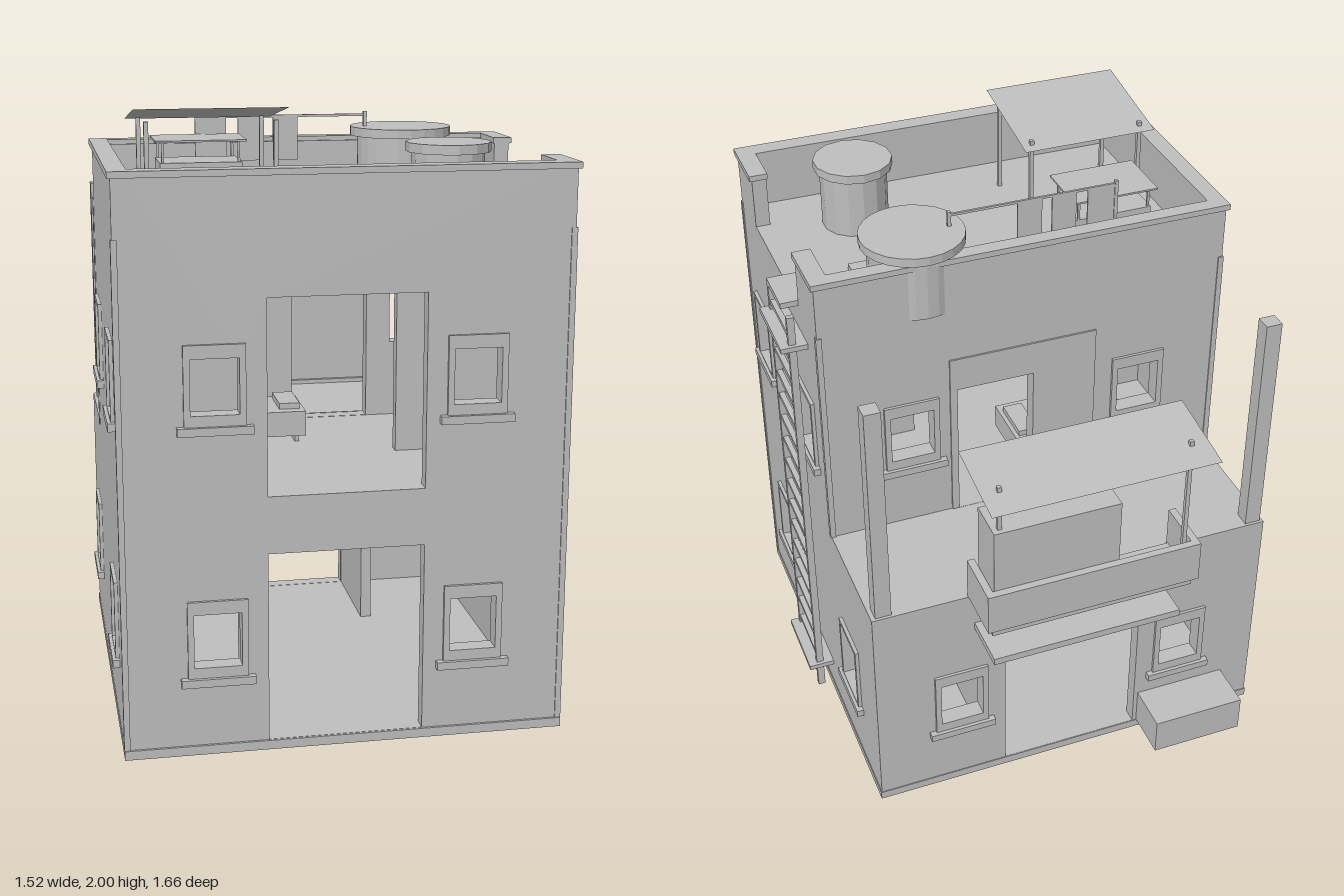
import * as THREE from 'three';

const plaster = new THREE.MeshStandardMaterial({ color: 0xbebebe });
plaster.name = 'plaster';
const sheetMaterial = plaster.clone();
sheetMaterial.name = 'plasterSheet';
sheetMaterial.side = THREE.DoubleSide;

export function createModel() {
  const model = new THREE.Group();
  model.name = 'house';
  const T = 0.05; // wall thickness
  const X0 = -0.74, X1 = 0.67, ZB = -0.6, ZU = -0.15, ZF = 0.8;

  const add = (name, geometry, material = plaster) => {
    const mesh = new THREE.Mesh(geometry, material);
    mesh.name = name;
    model.add(mesh);
    return mesh;
  };
  // Box given by its limits on each axis
  const box = (name, x0, x1, y0, y1, z0, z1) => {
    const m = add(name, new THREE.BoxGeometry(x1 - x0, y1 - y0, z1 - z0));
    m.position.set((x0 + x1) / 2, (y0 + y1) / 2, (z0 + z1) / 2);
    return m;
  };
  const cylinder = (name, x, z, y0, y1, r, sides) => {
    const m = add(name, new THREE.CylinderGeometry(r, r, y1 - y0, sides).toNonIndexed());
    m.geometry.computeVertexNormals();
    m.position.set(x, (y0 + y1) / 2, z);
  };
  const rect = (u0, u1, v0, v1) => [[u0, v0], [u1, v0], [u1, v1], [u0, v1]];
  const plate = (points, holes, depth) => {
    const shape = new THREE.Shape(points.map(p => new THREE.Vector2(...p)));
    for (const h of holes) shape.holes.push(new THREE.Path(h.map(p => new THREE.Vector2(...p))));
    return new THREE.ExtrudeGeometry(shape, { depth, bevelEnabled: false });
  };
  // Plates facing z start at z; plates facing x run from x0 to x0 + depth
  const zPlate = (name, points, holes, z, depth) => add(name, plate(points, holes, depth).translate(0, 0, z));
  const xPlate = (name, points, holes, x, depth) =>
    add(name, plate(points, holes, depth).rotateY(-Math.PI / 2).translate(x + depth, 0, 0));

  // Windows: centre along the wall and centre height
  const hole = (u, v, w, h) => rect(u - w / 2, u + w / 2, v - h / 2, v + h / 2);
  const endWin = (u, v) => hole(u, v, 0.15, 0.175);
  const sideWin = (u, v) => hole(u, v, 0.165, 0.235);
  const endX = [-0.445, 0.37], lowY = 0.38, highY = 1.19;
  const sideWins = [[0.515, 0.385], [-0.305, 0.385], [0.605, 1.19], [0.05, 1.19]];

  // Floors
  box('baseSlab', X0 - 0.003, X1 + 0.003, 0, 0.03, ZB - 0.003, ZF + 0.008);
  box('middleFloor', X0 + T, X1 - T, 0.795, 0.835, ZB + T, ZF - T);
  box('roofFloor', X0 + T, X1 - T, 1.6, 1.64, ZU + T, ZF - T);

  // Front and back walls
  const a = X0 + T, b = X1 - T;
  const lowDoor = rect(-0.285, 0.21, 0.031, 0.65);
  const lowHoles = endX.map(x => endWin(x, lowY));
  const highHoles = endX.map(x => endWin(x, highY));
  zPlate('frontWall', rect(a, b, 0.03, 1.825),
    [lowDoor, rect(-0.285, 0.21, 0.835, 1.455), ...lowHoles, ...highHoles], ZF - T, T);
  zPlate('lowerBackWall', rect(a, b, 0.03, 0.835), [lowDoor, ...lowHoles], ZB, T);
  zPlate('upperBackWall', rect(a, b, 0.83, 1.825),
    [rect(-0.06, 0.21, 0.836, 1.335), ...highHoles], ZU, T);
  zPlate('backDoorTrim', rect(-0.285, 0.235, 0.836, 1.455),
    [rect(-0.06, 0.21, 0.837, 1.335)], ZU - 0.006, 0.006);

  // Side walls; the right one drops for the ladder
  const sideHoles = sideWins.map(w => sideWin(...w));
  const start = [[ZB, 0.835], [ZB, 0.03], [ZF, 0.03], [ZF, 1.825]];
  const gap = [[0.6, 1.825], [0.6, 1.64], [0.06, 1.64], [0.06, 1.825]];
  const end = [[ZU, 1.825], [ZU, 0.835]];
  xPlate('leftSideWall', [...start, ...gap, ...end], sideHoles, X1 - T, T);
  xPlate('rightSideWall', [...start, ...end], sideHoles, X0, T);

  // Parapet coping and the band below it
  const o = 0.01, c = [1.82, 1.84];
  box('copingFront', X0 - o, X1 + o, ...c, ZF - T - 0.003, ZF + o);
  box('copingBack', X0 - o, X1 + o, ...c, ZU - o, ZU + T - 0.008);
  box('copingSide', X0 - o, X0 + T, ...c, ZU, ZF);
  box('copingSide', X1 - T - 0.003, X1 + o, ...c, 0.59, ZF);
  box('copingSide', X1 - T - 0.003, X1 + o, ...c, ZU, 0.06);

  // Slim corner strips
  for (const x of [X0, X1]) {
    const s = Math.sign(x), xs = [x - 0.015 * s, x + 0.004 * s].sort((p, q) => p - q);
    box('cornerStrip', ...xs, 0.03, 1.64, ZF - 0.015, ZF + 0.004);
    box('cornerStrip', ...xs, 0.835, 1.64, ZU - 0.004, ZU + 0.015);
  }

  // Window frames and sills
  const endWindow = (x, y, z, dir) => {
    zPlate('windowFrame', hole(x, y, 0.19, 0.26), [endWin(x, y)], dir > 0 ? z : z - 0.01, 0.01);
    const zs = dir > 0 ? [z, z + 0.022] : [z - 0.022, z];
    box('windowSill', x - 0.117, x + 0.117, y - 0.148, y - 0.122, ...zs);
  };
  for (const x of endX) {
    endWindow(x, lowY, ZF, 1);
    endWindow(x, highY, ZF, 1);
    endWindow(x, lowY, ZB, -1);
    endWindow(x, highY, ZU, -1);
  }
  for (const [z, y] of sideWins) {
    for (const x of [X0, X1]) {
      const out = x > 0;
      xPlate('windowFrame', hole(z, y, 0.195, 0.265), [sideWin(z, y)], out ? x : x - 0.012, 0.012);
      box('windowSill', ...(out ? [x, x + 0.023] : [x - 0.023, x]), y - 0.148, y - 0.122, z - 0.117, z + 0.117);
    }
  }

  // Inner partitions
  box('lowerPartition', -0.325, -0.287, 0.03, 0.8, 0.37, ZF - T);
  box('lowerPartition', 0.212, 0.25, 0.03, 0.8, ZB + T, -0.17);
  box('upperPartition', a, -0.287, 0.835, 1.6, 0.33, 0.37);
  box('upperPartition', 0.212, b, 0.835, 1.6, 0.33, 0.37);

  // Bench in the upper room
  box('benchSeat', -0.5, -0.065, 0.86, 0.945, 0, 0.22);
  box('benchCushion', -0.15, -0.08, 0.945, 0.965, 0.02, 0.18);
  box('benchLeg', -0.1, -0.085, 0.835, 0.86, 0.02, 0.2);

  // Back terrace: corner pillars, balcony, cabinet, awning and step
  box('terracePillar', -0.73, -0.675, 0.835, 1.64, -0.59, -0.535);
  box('terracePillar', 0.6, 0.655, 0.835, 1.64, -0.59, -0.535);
  box('balconyFloor', -0.38, 0.32, 0.805, 0.85, -0.77, ZB);
  box('balconyRail', -0.4, 0.34, 0.835, 0.985, -0.785, -0.76);
  box('balconyRail', -0.4, -0.375, 0.835, 0.985, -0.76, -0.59);
  box('balconyRail', 0.315, 0.34, 0.835, 0.985, -0.76, -0.59);
  box('balconyCabinet', -0.12, 0.31, 0.85, 1.215, -0.759, -0.615);
  box('doorAwning', -0.34, 0.32, 0.69, 0.715, -0.785, ZB);
  box('backStep', -0.63, -0.3, 0.03, 0.165, -0.765, ZB);

  // Sloping sheets on slim posts
  const sheet = (name, x0, x1, zA, yA, zB, yB) => {
    const g = new THREE.PlaneGeometry(x1 - x0, Math.hypot(zB - zA, yB - yA));
    g.rotateX(-Math.PI / 2).rotateX(-Math.atan2(yB - yA, zB - zA));
    g.translate((x0 + x1) / 2, (yA + yB) / 2, (zA + zB) / 2);
    add(name, g, sheetMaterial);
  };
  const post = (name, x, y0, y1, z, r = 0.007) => box(name, x - r, x + r, y0, y1, z - r, z + r);
  sheet('balconyCanopy', -0.42, 0.345, -0.835, 1.35, -0.54, 1.39);
  for (const x of [-0.36, 0.285]) post('balconyPost', x, 0.84, 1.38, -0.735);
  sheet('roofCanopy', -0.655, -0.185, 0.24, 1.94, 0.615, 2.0);
  for (const x of [-0.615, -0.22]) for (const z of [0.28, 0.58]) post('canopyPost', x, 1.64, 1.96, z);

  // Water tanks
  box('tankBase', 0.185, 0.455, 1.64, 1.66, -0.1, 0.22);
  cylinder('largeTank', 0.305, -0.017, 1.64, 1.85, 0.147, 24);
  cylinder('largeTankLid', 0.305, -0.017, 1.85, 1.88, 0.172, 24);
  cylinder('smallTank', 0.335, 0.525, 1.64, 1.85, 0.115, 14);
  cylinder('smallTankLid', 0.335, 0.525, 1.85, 1.88, 0.135, 14);

  // Roof store, bench and washing line
  box('roofStore', -0.54, -0.27, 1.64, 1.79, 0.005, 0.19);
  box('roofStoreCover', -0.555, -0.255, 1.857, 1.863, -0.01, 0.2);
  for (const x of [-0.53, -0.28]) for (const z of [0.01, 0.18]) post('coverPost', x, 1.78, 1.858, z, 0.004);
  box('roofBench', -0.255, 0.085, 1.64, 1.675, 0, 0.038);
  box('washingLine', -0.4, 0.185, 1.914, 1.922, -0.029, -0.021);
  for (const x of [-0.395, 0.183]) post('linePost', x, 1.64, 1.93, -0.025, 0.006);
  for (const [x0, x1] of [[-0.39, -0.295], [-0.255, -0.17], [-0.135, -0.05]]) {
    box('laundry', x0, x1, 1.77, 1.914, -0.028, -0.022);
  }

  // Ladder
  for (const z of [-0.008, 0.223]) box('ladderRail', 0.705, 0.73, 0.03, 1.65, z - 0.009, z + 0.009);
  for (let i = 0; i < 17; i++) {
    const y = 0.08 + i * 0.0935;
    box('ladderRung', 0.708, 0.727, y - 0.008, y + 0.008, -0.005, 0.22);
  }
  for (const y of [0.135, 1.538]) box('ladderBracket', X1, 0.76, y - 0.009, y + 0.009, -0.03, 0.24);
  box('ladderTop', X1 - T, 0.73, 1.64, 1.66, 0.06, 0.23);

  return model;
}
